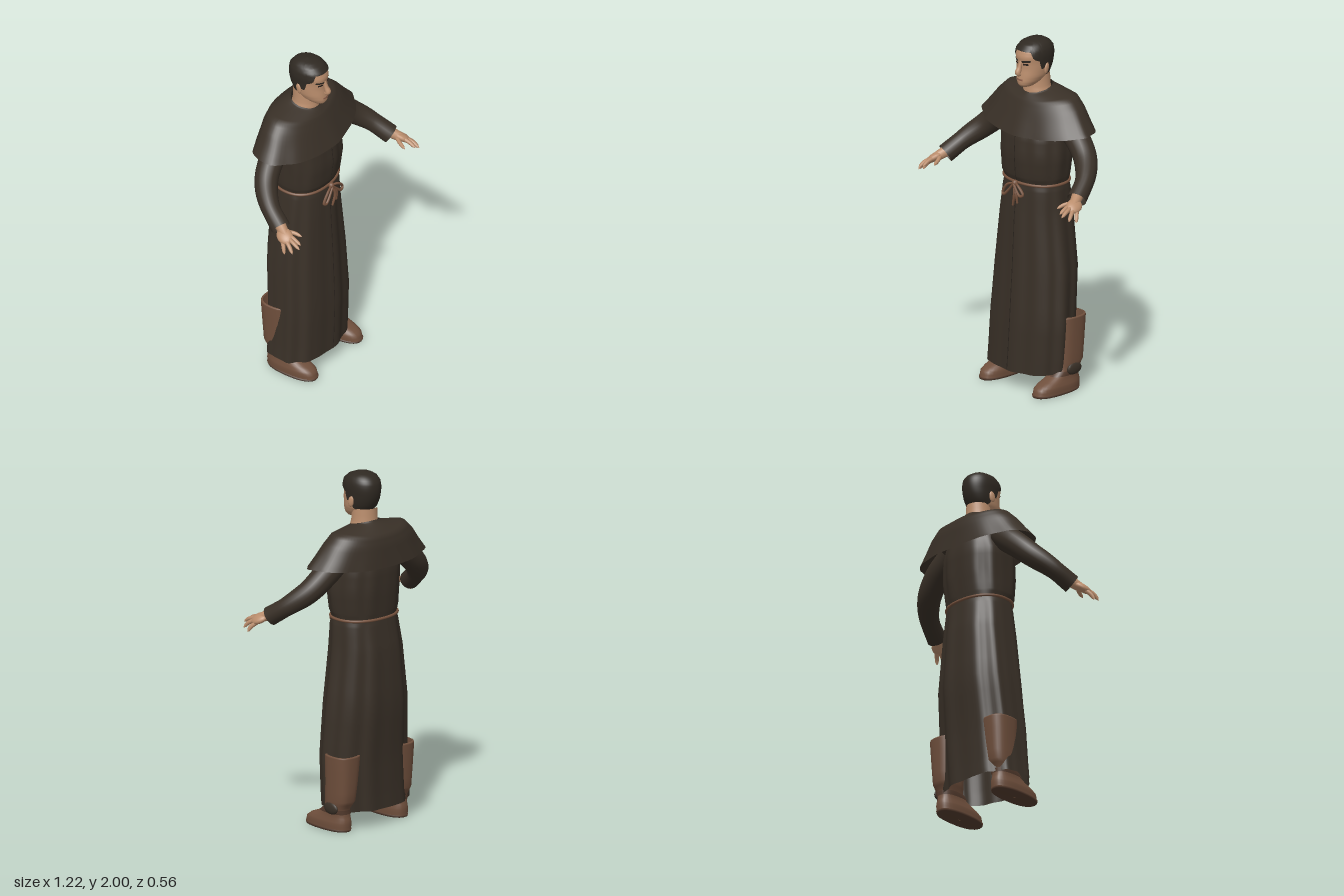
import * as THREE from 'three';

const mat = (name, color, side = THREE.FrontSide) => {
  const m = new THREE.MeshStandardMaterial({ color, side });
  m.name = name;
  return m;
};

// Row of a loft: [y, halfWidth, zFront, zBack, centreX, sideLift, foldDepth, backRise]
function sample(rows, y) {
  let i = 0;
  while (i < rows.length - 2 && y > rows[i + 1][0]) i++;
  const a = rows[i], b = rows[i + 1];
  const t = THREE.MathUtils.clamp((y - a[0]) / (b[0] - a[0]), 0, 1);
  return [0, 1, 2, 3, 4, 5, 6, 7].map(k => (a[k] || 0) * (1 - t) + (b[k] || 0) * t);
}

// Point on a loft; angle 0 is the front, a quarter turn is +x; n and nFront set the squareness
function pointOn(rows, angle, y, n = 2, nFront = n) {
  const [, hx, zf, zb, cx, lift, fold, rise] = sample(rows, y);
  const s = Math.sin(angle), c = Math.cos(angle), e = 2 / (c > 0 ? nFront : n);
  const w = 1 + fold * (Math.sin(9 * angle + 1) + 0.5 * Math.sin(14 * angle));
  return new THREE.Vector3(
    cx + hx * Math.sign(s) * Math.abs(s) ** e * w,
    y + lift * s * s + rise * (1 - c) / 2,
    (zf + zb) / 2 + (zf - zb) / 2 * Math.sign(c) * Math.abs(c) ** e * w);
}

// Closed-round surface from a point rule f(angle, v)
function surface(nu, nv, f) {
  const pos = [], idx = [];
  for (let j = 0; j <= nv; j++)
    for (let i = 0; i < nu; i++) pos.push(...f(i / nu * Math.PI * 2, j / nv).toArray());
  for (let j = 0; j < nv; j++)
    for (let i = 0; i < nu; i++) {
      const k = (i + 1) % nu, a = j * nu + i, b = j * nu + k, c = a + nu, d = b + nu;
      idx.push(a, b, c, b, d, c);
    }
  const g = new THREE.BufferGeometry();
  g.setAttribute('position', new THREE.Float32BufferAttribute(pos, 3));
  g.setIndex(idx);
  g.computeVertexNormals();
  return g;
}

function loft(rows, nu = 32, sub = 2, n = 2, nFront = n) {
  const nv = (rows.length - 1) * sub;
  return surface(nu, nv, (a, v) => {
    const i = Math.min(Math.floor(v * nv / sub + 1e-6), rows.length - 2), t = v * nv / sub - i;
    return pointOn(rows, a, rows[i][0] * (1 - t) + rows[i + 1][0] * t, n, nFront);
  });
}

// Tube through points with a radius at each evenly spaced step
function tube(points, radii, seg = 16, sides = 12) {
  const curve = new THREE.CatmullRomCurve3(points.map(p => new THREE.Vector3(...p)));
  const g = new THREE.TubeGeometry(curve, seg, 1, sides);
  const p = g.attributes.position, v = new THREE.Vector3();
  for (let i = 0; i < p.count; i++) {
    const t = Math.floor(i / (sides + 1)) / seg, c = curve.getPointAt(t);
    const f = t * (radii.length - 1), k = Math.min(Math.floor(f), radii.length - 2);
    v.fromBufferAttribute(p, i).sub(c).multiplyScalar(THREE.MathUtils.lerp(radii[k], radii[k + 1], f - k)).add(c);
    p.setXYZ(i, v.x, v.y, v.z);
  }
  return g;
}

export function createModel() {
  const root = new THREE.Group();
  root.name = 'robedMan';
  const cloth = mat('darkBrownCloth', 0x393027, THREE.DoubleSide);
  const seamCloth = mat('seamCloth', 0x2b241e);
  const skin = mat('skin', 0xbb8e6d);
  const hair = mat('hair', 0x2f2922, THREE.DoubleSide);
  const lip = mat('lips', 0x8c5f4b);
  const eye = mat('eyes', 0x2a211c);
  const leather = mat('bootLeather', 0x6f4f3c, THREE.DoubleSide);
  const sole = mat('bootSole', 0x553c2e);
  const rope = mat('rope', 0x76523d);
  const add = (name, geo, m, parent = root) => {
    const mesh = new THREE.Mesh(geo, m);
    mesh.name = name;
    parent.add(mesh);
    return mesh;
  };

  // Robe with soft folds that fade towards the waist
  const robe = [
    [0.1, 0.268, 0.118, -0.222, -0.03, 0.01, 0.026], [0.2, 0.267, 0.117, -0.223, -0.022, 0, 0.028],
    [0.4, 0.266, 0.115, -0.23, -0.01, 0, 0.028], [0.7, 0.248, 0.1, -0.256, -0.005, 0, 0.026],
    [1.0, 0.213, 0.085, -0.247, -0.005, 0, 0.022], [1.15, 0.198, 0.075, -0.228, 0, 0, 0.012],
    [1.19, 0.19, 0.068, -0.222], [1.23, 0.2, 0.083, -0.228, 0, 0, 0.012],
    [1.35, 0.207, 0.095, -0.24, 0.005, 0, 0.02], [1.48, 0.205, 0.085, -0.245, 0, 0, 0.014], [1.62, 0.16, 0.01, -0.22]];
  add('robe', loft(robe, 96, 3, 2.3), cloth);
  const seam = [];
  for (let y = 0.105; y < 1.48; y += 0.02) seam.push(pointOn(robe, 0, y, 2.3).toArray());
  add('frontSeam', tube(seam, [0.0025, 0.0025], 140, 6), seamCloth);

  // Shoulder cape, its collar higher at the nape than at the throat
  const cape = [
    [1.475, 0.4, 0.114, -0.28, 0, 0.03, 0.01, 0.02], [1.54, 0.35, 0.085, -0.272, 0, 0.025, 0.008, 0.015],
    [1.605, 0.3, 0.056, -0.264, 0, 0.026, 0.003, 0.012], [1.655, 0.245, 0.032, -0.25, 0, 0.028, 0, 0.012],
    [1.675, 0.15, 0.016, -0.212, 0, 0.016, 0, 0.025], [1.688, 0.092, 0.004, -0.172, 0, 0.004, 0, 0.04],
    [1.696, 0.082, -0.004, -0.163, 0, 0, 0, 0.042]];
  add('cape', loft(cape, 72, 3, 2.15, 1.85), cloth);

  // Rope belt with a bow
  const belt = new THREE.Group();
  belt.name = 'ropeBelt';
  root.add(belt);
  const ring = [];
  for (let i = 0; i < 40; i++) {
    const p = pointOn(robe, i / 40 * Math.PI * 2, 1.19, 2.3);
    ring.push(p.add(new THREE.Vector3(p.x, 0, p.z + 0.075).setLength(0.005)));
  }
  add('belt', new THREE.TubeGeometry(new THREE.CatmullRomCurve3(ring, true), 100, 0.008, 8, true), rope, belt);
  add('knot', new THREE.SphereGeometry(0.018, 12, 8), rope, belt).position.set(0, 1.188, 0.088);
  const cord = [0.006, 0.008, 0.008, 0.006];
  add('bowLoopRight', tube([[0, 1.19, 0.09], [-0.05, 1.17, 0.1], [-0.085, 1.115, 0.1], [-0.07, 1.11, 0.105], [0, 1.185, 0.1]], cord, 30, 8), rope, belt);
  add('bowLoopLeft', tube([[0, 1.19, 0.09], [0.04, 1.185, 0.105], [0.08, 1.14, 0.105], [0.06, 1.13, 0.11], [0, 1.185, 0.1]], cord, 30, 8), rope, belt);
  add('ropeEndRight', tube([[0, 1.19, 0.095], [0.012, 1.13, 0.105], [-0.005, 1.06, 0.1]], cord, 16, 8), rope, belt);
  add('ropeEndLeft', tube([[0, 1.19, 0.095], [0.025, 1.14, 0.105], [0.03, 1.08, 0.1]], cord, 16, 8), rope, belt);

  // Head and neck
  const head = new THREE.Group();
  head.name = 'head';
  root.add(head);
  add('neck', loft([[1.64, 0.09, 0, -0.165], [1.7, 0.08, -0.004, -0.16], [1.73, 0.071, -0.008, -0.155], [1.8, 0.068, -0.01, -0.153]], 32), skin, head);
  const skull = [
    [1.732, 0.004, 0.02, 0], [1.738, 0.032, 0.042, -0.04], [1.75, 0.047, 0.051, -0.075], [1.77, 0.063, 0.054, -0.115],
    [1.8, 0.076, 0.051, -0.142], [1.84, 0.082, 0.046, -0.16], [1.875, 0.084, 0.047, -0.169], [1.91, 0.087, 0.052, -0.172],
    [1.945, 0.083, 0.042, -0.167], [1.972, 0.068, 0.016, -0.147], [1.987, 0.046, -0.02, -0.122], [1.996, 0.0004, -0.07, -0.071]];
  add('face', loft(skull, 48, 3, 2.15), skin, head);

  // Hair follows a hairline given by angle from the front (degrees, height)
  const line = [[0, 1.942], [40, 1.94], [52, 1.9], [70, 1.885], [78, 1.835], [90, 1.84], [105, 1.8], [130, 1.78], [180, 1.775]];
  const hairline = a => {
    const d = Math.abs(Math.atan2(Math.sin(a), Math.cos(a))) * 180 / Math.PI;
    const i = Math.max(0, line.findIndex((p, k) => k < 8 && d <= line[k + 1][0] + 1e-6));
    return THREE.MathUtils.mapLinear(d, line[i][0], line[i + 1][0], line[i][1], line[i + 1][1]);
  };
  add('hair', surface(72, 16, (a, v) => {
    const y = THREE.MathUtils.lerp(hairline(a), 1.996, Math.sin(v * Math.PI / 2));
    const p = pointOn(skull, a, y, 2.15);
    return p.set(p.x * 1.06, y + 0.004, -0.062 + (p.z + 0.062) * 1.06);
  }), hair, head);

  // Facial features: thin patches laid on the face
  const patch = (name, m, x, y, w, h, tilt = 0) => {
    const g = new THREE.PlaneGeometry(w, h, 6, 2).rotateZ(tilt).translate(x, y, 0);
    const p = g.attributes.position;
    for (let i = 0; i < p.count; i++) {
      const r = sample(skull, p.getY(i)), s = Math.abs(p.getX(i) / r[1]);
      p.setZ(i, (r[2] + r[3]) / 2 + (r[2] - r[3]) / 2 * (1 - s ** 2.15) ** (1 / 2.15) + 0.003);
    }
    g.computeVertexNormals();
    add(name, g, m, head);
  };
  for (const s of [1, -1]) {
    patch('eyebrow', hair, s * 0.037, 1.889, 0.046, 0.011, s * 0.14);
    patch('eye', eye, s * 0.034, 1.872, 0.028, 0.01);
    const ear = add('ear', new THREE.SphereGeometry(1, 14, 10), skin, head);
    ear.scale.set(0.009, 0.032, 0.018);
    ear.position.set(s * 0.088, 1.84, -0.068);
    ear.rotation.set(-0.2, s * 0.25, 0);
  }
  patch('mouth', lip, 0, 1.78, 0.046, 0.01);
  add('nose', tube([[0, 1.888, 0.042], [0, 1.85, 0.054], [0, 1.82, 0.066], [0, 1.806, 0.046]], [0.008, 0.012, 0.018, 0.008], 16, 12), skin, head);

  // Arms, hands and boots, mirrored
  for (const s of [1, -1]) {
    const flip = pts => pts.map(([x, y, z]) => [s * x, y, z]);
    const arm = new THREE.Group();
    arm.name = s > 0 ? 'leftArm' : 'rightArm';
    root.add(arm);
    add('sleeve', tube(flip([[0.19, 1.56, -0.1], [0.3, 1.475, -0.097], [0.395, 1.388, -0.067], [0.472, 1.31, 0.01], [0.518, 1.232, 0.118]]),
      [0.072, 0.072, 0.068, 0.062, 0.052, 0.054], 28, 20), cloth, arm);
    add('wrist', tube(flip([[0.49, 1.28, 0.06], [0.525, 1.237, 0.13], [0.545, 1.215, 0.17]]), [0.032, 0.032, 0.026], 8, 12), skin, arm);
    const palm = add('palm', new THREE.SphereGeometry(1, 16, 12), skin, arm);
    palm.scale.set(0.043, 0.023, 0.054);
    palm.position.set(s * 0.55, 1.215, 0.168);
    palm.rotation.set(0.4, s * 0.35, -s * 0.6);
    const fingers = [
      ['thumb', [0.525, 1.225, 0.15], [0.498, 1.215, 0.195], [0.485, 1.2, 0.237]],
      ['indexFinger', [0.537, 1.22, 0.19], [0.54, 1.208, 0.232], [0.54, 1.188, 0.268]],
      ['middleFinger', [0.553, 1.213, 0.195], [0.562, 1.2, 0.238], [0.564, 1.176, 0.277]],
      ['ringFinger', [0.567, 1.203, 0.19], [0.583, 1.183, 0.224], [0.593, 1.153, 0.25]],
      ['littleFinger', [0.574, 1.193, 0.172], [0.594, 1.168, 0.192], [0.605, 1.14, 0.205]]];
    for (const [name, ...pts] of fingers)
      add(name, tube(flip(pts), [0.014, 0.0125, 0.012, 0.0115, 0.011, 0.009, 0.001], 12, 8), skin, arm);

    const boot = new THREE.Group();
    boot.name = s > 0 ? 'leftBoot' : 'rightBoot';
    root.add(boot);
    const x = s * 0.21, t = s * 0.2;
    add('sole', loft([[0, 0.002, -0.01, -0.03, x], [0.001, 0.066, 0.138, -0.178, x], [0.014, 0.068, 0.142, -0.182, x], [0.015, 0.05, 0.1, -0.15, x]], 32, 1, 2.4), sole, boot);
    add('upper', loft([
      [0.013, 0.064, 0.137, -0.178, x], [0.045, 0.065, 0.128, -0.18, x], [0.065, 0.06, 0.1, -0.178, x],
      [0.085, 0.055, 0.05, -0.172, x], [0.11, 0.053, 0, -0.168, x], [0.135, 0.059, -0.022, -0.174, x],
      [0.175, 0.068, -0.025, -0.198, s * 0.207], [0.28, 0.076, -0.028, -0.207, s * 0.203], [0.425, 0.085, -0.028, -0.217, t],
      [0.432, 0.083, -0.03, -0.215, t], [0.433, 0.074, -0.039, -0.206, t]], 32, 2, 2.6), leather, boot);
    add('ankleStrap', loft([[0.1, 0.058, 0.022, -0.175, x], [0.112, 0.06, 0.008, -0.175, x], [0.125, 0.06, -0.005, -0.176, x]], 32, 1, 2.6), sole, boot);
  }

  // Fold of the hem caught over the left boot
  const fold = add('hemFold', new THREE.SphereGeometry(1, 16, 10), cloth);
  fold.scale.set(0.014, 0.034, 0.054);
  fold.position.set(0.269, 0.132, -0.103);
  return root;
}
